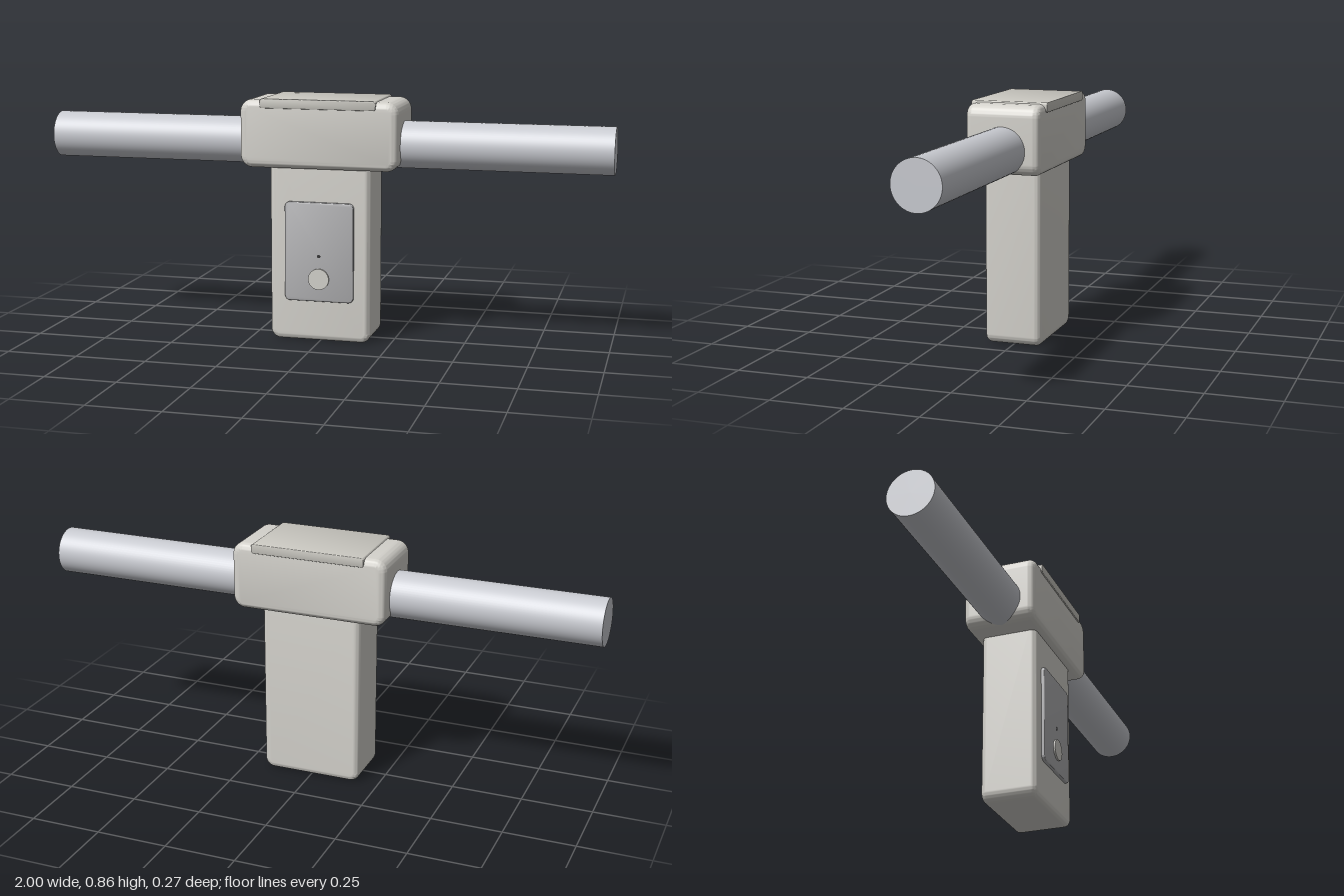
import * as THREE from 'three';
import { toCreasedNormals } from 'three/addons/utils/BufferGeometryUtils.js';

const paint = (color) => new THREE.MeshStandardMaterial({ color });
const shellPaint = paint(0xd4d2cc);
const lidPaint = paint(0xc9c7c0);
const barPaint = paint(0xc8cad0);
const platePaint = paint(0xb0b0b2);
const dotPaint = paint(0x333333);

// Rounded rectangle in the front plane, extruded along z with rounded front and back edges
function roundedBlock(x0, x1, y0, y1, z0, z1, radius, bevel) {
  const w = (x1 - x0) / 2 - bevel, h = (y1 - y0) / 2 - bevel;
  const r = radius - bevel;
  const s = new THREE.Shape();
  s.moveTo(-w + r, -h);
  s.lineTo(w - r, -h);
  s.absarc(w - r, -h + r, r, -Math.PI / 2, 0);
  s.absarc(w - r, h - r, r, 0, Math.PI / 2);
  s.absarc(-w + r, h - r, r, Math.PI / 2, Math.PI);
  s.absarc(-w + r, -h + r, r, Math.PI, Math.PI * 1.5);
  const g = new THREE.ExtrudeGeometry(s, {
    depth: z1 - z0 - 2 * bevel, curveSegments: 8,
    bevelEnabled: true, bevelSize: bevel, bevelThickness: bevel, bevelSegments: 6,
  });
  g.translate((x0 + x1) / 2, (y0 + y1) / 2, z0 + bevel);
  return toCreasedNormals(g, 0.6);
}

// Short disc facing forward
function disc(radius, y, z0, z1, segments) {
  const g = new THREE.CylinderGeometry(radius, radius, z1 - z0, segments);
  g.rotateX(Math.PI / 2);
  g.translate(0, y, (z0 + z1) / 2);
  return g;
}

export function createModel() {
  const model = new THREE.Group();
  const add = (name, geometry, material) => {
    const mesh = new THREE.Mesh(geometry, material);
    mesh.name = name;
    model.add(mesh);
  };

  // Main shells
  add('body', roundedBlock(-0.18, 0.18, 0, 0.66, -0.1, 0.1, 0.035, 0.02), shellPaint);
  add('clampHousing', roundedBlock(-0.28, 0.28, 0.613, 0.85, -0.13, 0.13, 0.042, 0.024), shellPaint);
  add('topLid', roundedBlock(-0.204, 0.204, 0.822, 0.855, -0.135, 0.135, 0.009, 0.002), lidPaint);

  // Bar through the housing
  const bar = new THREE.CylinderGeometry(0.082, 0.082, 2, 64);
  bar.rotateZ(Math.PI / 2);
  bar.translate(0, 0.696, 0);
  add('crossBar', bar, barPaint);

  // Front panel with button and indicator
  add('frontPanel', roundedBlock(-0.123, 0.123, 0.145, 0.496, 0.09, 0.112, 0.018, 0.004), platePaint);
  add('button', disc(0.037, 0.226, 0.1, 0.118, 40), shellPaint);
  add('indicatorDot', disc(0.006, 0.307, 0.1, 0.113, 16), dotPaint);

  return model;
}
